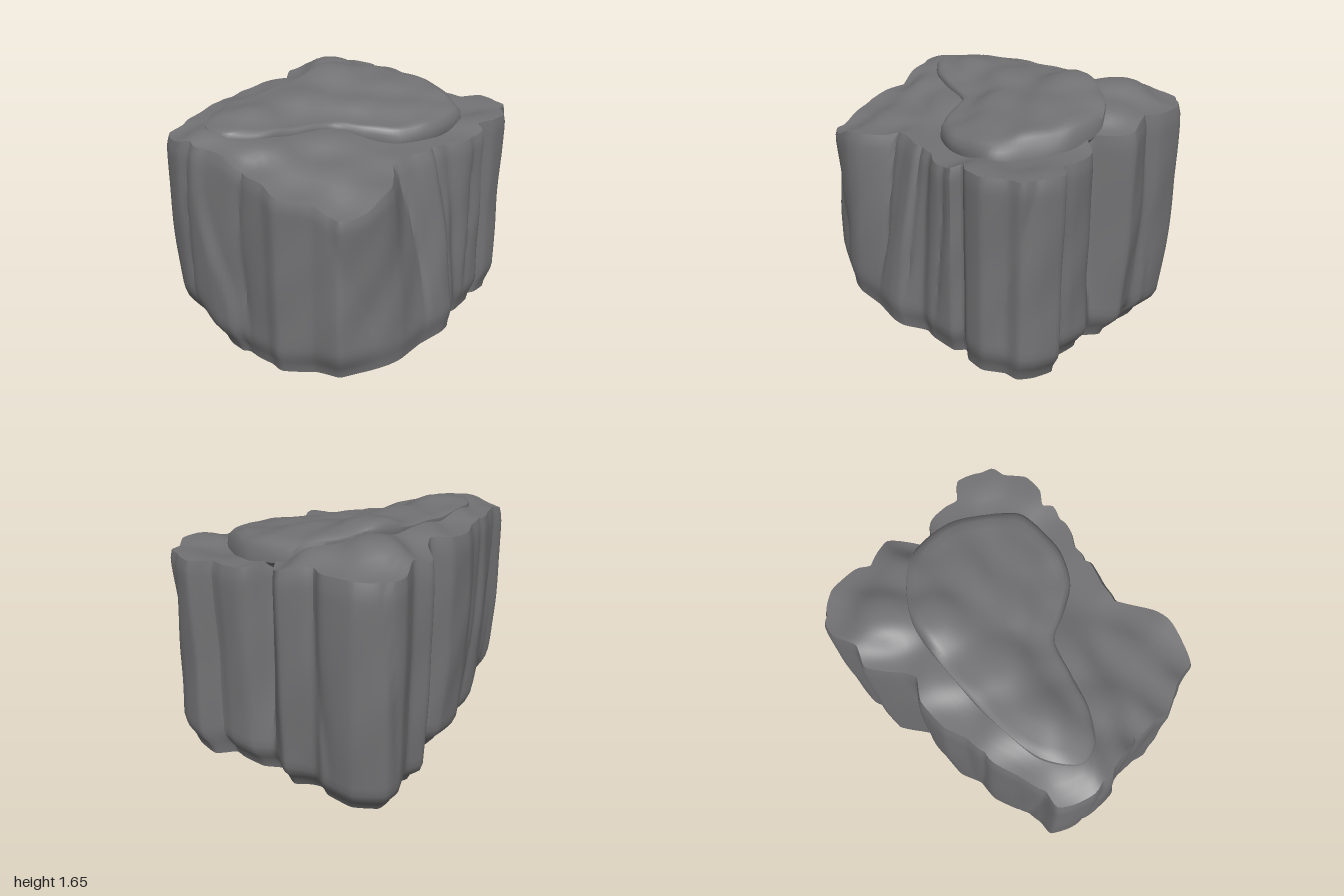
import * as THREE from 'three';
import { toCreasedNormals } from 'three/addons/utils/BufferGeometryUtils.js';

const stone = new THREE.MeshStandardMaterial({ color: 0x727274 });
stone.name = 'grey stone';

// plan outlines as x, z pairs, running clockwise seen from above
const BODY = [
  -0.62, -1, -0.42, -1, -0.34, -0.96, -0.15, -1, -0.06, -0.93, 0.02, -0.88, 0.14, -0.93, 0.3, -0.92,
  0.38, -0.9, 0.48, -0.99, 0.62, -0.95, 0.71, -0.89, 0.72, -0.8, 0.8, -0.68, 0.79, -0.55, 0.73, -0.47,
  0.79, -0.42, 0.79, -0.23, 0.77, -0.14, 0.84, 0, 0.84, 0.1, 0.79, 0.3, 0.77, 0.5, 0.74, 0.6, 0.67, 0.75,
  0.58, 0.9, 0.4, 0.91, 0.2, 0.98, 0.1, 0.96, -0.05, 0.97, -0.3, 1.01, -0.5, 0.99, -0.62, 0.94, -0.7, 0.88,
  -0.69, 0.78, -0.72, 0.6, -0.77, 0.42, -0.76, 0.25, -0.8, 0.1, -0.78, -0.1, -0.7, -0.22, -0.76, -0.35,
  -0.84, -0.5, -0.78, -0.62, -0.82, -0.78, -0.79, -0.9,
];
const SLAB = [
  -0.56, 0.3, -0.52, -0.1, -0.45, -0.42, -0.28, -0.65, -0.08, -0.78, 0.2, -0.77, 0.4, -0.65, 0.55, -0.5,
  0.54, -0.2, 0.42, 0.01, 0.22, 0.12, 0.05, 0.2, -0.05, 0.42, -0.14, 0.62, -0.27, 0.77, -0.42, 0.79, -0.54, 0.6,
];
// height samples: x, z, y
const BODY_TOP = [
  [-0.75, -0.85, 1.51], [-0.4, -0.95, 1.52], [-0.53, -0.6, 1.63], [-0.78, -0.4, 1.51], [-0.76, 0.1, 1.51],
  [-0.7, 0.6, 1.5], [-0.6, 0.93, 1.45], [-0.25, 0.97, 1.46], [-0.02, 0.9, 1.35], [0.3, 0.9, 1.29],
  [0.58, 0.88, 1.22], [0.6, 0.45, 1.31], [0.52, 0.12, 1.36], [0.72, -0.25, 1.36], [0.72, -0.6, 1.43],
  [0.55, -0.88, 1.43], [0.2, -0.88, 1.42], [0, -0.85, 1.46], [0.48, -0.66, 1.39], [0, -0.1, 1.42],
  [-0.4, 0.82, 1.53], [-0.45, 0.4, 1.56], [0.25, 0.5, 1.36], [-0.5, -0.1, 1.57], [-0.25, -0.72, 1.57],
  [0.02, 0.35, 1.45], [-0.12, 0.7, 1.47], [0.35, -0.2, 1.37],
];
const SLAB_TOP = [
  [-0.53, 0.5, 1.55], [-0.35, 0.5, 1.59], [-0.35, 0.78, 1.53], [-0.14, 0.6, 1.5], [-0.05, 0.4, 1.48],
  [0.05, 0.2, 1.47], [0.22, 0.12, 1.46], [0.42, 0, 1.45], [0.54, -0.2, 1.47], [0.54, -0.5, 1.49],
  [0.35, -0.67, 1.54], [0, -0.75, 1.57], [-0.3, -0.62, 1.61], [-0.35, -0.4, 1.66], [-0.54, 0, 1.58],
  [-0.54, 0.25, 1.56], [-0.3, 0.1, 1.59], [0, -0.1, 1.55], [0.25, -0.3, 1.52], [-0.05, -0.45, 1.59],
];
const lerp = THREE.MathUtils.lerp, smooth = THREE.MathUtils.smoothstep;
const bump = (v, at, w) => Math.exp(-(((v - at) / w) ** 2));

// distance-weighted blend of height samples
const terrain = (samples) => (x, z) => {
  let sum = 0, total = 0;
  for (const [px, pz, y] of samples) {
    const w = 1 / ((x - px) ** 2 + (z - pz) ** 2 + 0.018) ** 2.2;
    sum += w * y;
    total += w;
  }
  return sum / total;
};
const topHeight = terrain(BODY_TOP), slabHeight = terrain(SLAB_TOP);
const baseHeight = (x, z) => Math.max(0, 0.005 + 0.108 * (x + 0.6) + 0.035 * (z + 0.85))
  + 0.05 * smooth(z - x, 0.9, 1.5);

// near-straight facets between outline points
function outline(pairs, count, tension) {
  const points = [];
  for (let i = 0; i < pairs.length; i += 2) points.push(new THREE.Vector3(pairs[i], 0, pairs[i + 1]));
  return new THREE.CatmullRomCurve3(points, true, 'catmullrom', tension).getSpacedPoints(count).slice(0, count);
}

// skin of closed rings, ordered from the bottom upwards
function loft(rings) {
  const n = rings[0].length, index = [];
  for (let i = 0; i < rings.length - 1; i++) {
    for (let j = 0; j < n; j++) {
      const a = i * n + j, b = i * n + (j + 1) % n;
      index.push(a, a + n, b, b, a + n, b + n);
    }
  }
  const geometry = new THREE.BufferGeometry();
  geometry.setAttribute('position', new THREE.Float32BufferAttribute(rings.flat(2), 3));
  geometry.setIndex(index);
  return toCreasedNormals(geometry, 0.7);
}

// point of the weathered wall, t = 0 at the foot and 1 at the rim
function wallPoint(p, t) {
  let { x, z } = p;
  const angle = Math.atan2(z, x);
  // leaning upright columns with clefts and shallow dents
  const lean = 0.5 * Math.sin(t * 2.5 + angle * 2);
  const cleft = Math.pow(1 - Math.abs(Math.sin(angle * 6.5 + lean + Math.sin(angle * 3))), 3);
  const dent = Math.sin(angle * 9 + t * 4) * Math.sin(t * 8 + angle * 5);
  let inset = 0.025 * cleft * smooth(t, 0, 0.4) + 0.008 * (1 + dent) * Math.sin(Math.PI * t);
  // foot tapers in, least on the right and most at the front corners; rim is rounded
  const corner = 0.15 * bump(angle, 2.24, 0.28) + 0.05 * bump(angle, 1.0, 0.2);
  inset += (0.08 - 0.05 * x - 0.03 * z) * (1 - smooth(t, 0, 0.14));
  inset += corner * (1 - smooth(t, 0, 0.2)) + 0.015 * smooth(t, 0.95, 1);
  // left half swells at two thirds of its height
  if (x < 0) inset += 0.16 * (t - 0.65) ** 2 * smooth(-x, 0, 0.3);
  if (z > 0.6) {
    // hollow under the front corner, and a step beside the bulging left panel
    const edge = -0.2 - 0.17 * smooth(t, 0.2, 0.8);
    inset += 0.05 * bump(x, -0.55, 0.13) * bump(t, 0.15, 0.07);
    inset += 0.035 * smooth(x, edge, edge + 0.06) * (1 - smooth(x, edge + 0.06, 0.2));
  }
  // cleft at the back
  if (z < -0.6) inset += 0.09 * t * bump(x, 0.04, 0.09);
  const k = 1 - inset / Math.hypot(x, z);
  x *= k;
  z *= k;
  // right flank leans back towards the rim
  if (x > 0) x -= 0.25 * Math.pow(t, 1.6) * bump(z, 0.17, 0.34) * smooth(x, 0.3, 0.7);
  return [x, lerp(baseHeight(x, z), topHeight(x, z), t), z];
}

function bodyGeometry() {
  const plan = outline(BODY, 320, 0.22), rings = [];
  const foot = plan.map((p) => wallPoint(p, 0)), rim = plan.map((p) => wallPoint(p, 1));
  const shrink = (ring, s, height) => ring.map(([x, , z]) => [x * s, height(x * s, z * s), z * s]);
  for (const s of [0, 0.4, 0.7, 0.9]) rings.push(shrink(foot, s, baseHeight));
  for (let i = 0; i <= 28; i++) rings.push(plan.map((p) => wallPoint(p, i / 28)));
  for (let i = 1; i <= 18; i++) rings.push(shrink(rim, 1 - i / 18, topHeight));
  return loft(rings);
}

// tilted cap over the middle of the top, its left side and front tail merging with the shelf
function slabGeometry() {
  const plan = outline(SLAB, 140, 0.4), cx = -0.1, cz = -0.05;
  const ring = (s, height) => plan.map((p) => {
    const x = cx + (p.x - cx) * s, z = cz + (p.z - cz) * s;
    return [x, height(x, z), z];
  });
  const between = (f) => (x, z) => lerp(topHeight(x, z), slabHeight(x, z), f);
  const rings = [
    ring(0.97, (x, z) => topHeight(x, z) - 0.06),
    ring(1.02, (x, z) => topHeight(x, z) - 0.01),
    ring(1.01, between(0.5)),
    ring(0.97, between(0.85)),
  ];
  for (let i = 0; i <= 12; i++) rings.push(ring(0.91 * (1 - i / 12), slabHeight));
  return loft(rings);
}

export function createModel() {
  const group = new THREE.Group();
  group.name = 'rock';
  for (const [name, geometry] of [['rockBody', bodyGeometry()], ['topSlab', slabGeometry()]]) {
    const mesh = new THREE.Mesh(geometry, stone);
    mesh.name = name;
    group.add(mesh);
  }
  return group;
}
